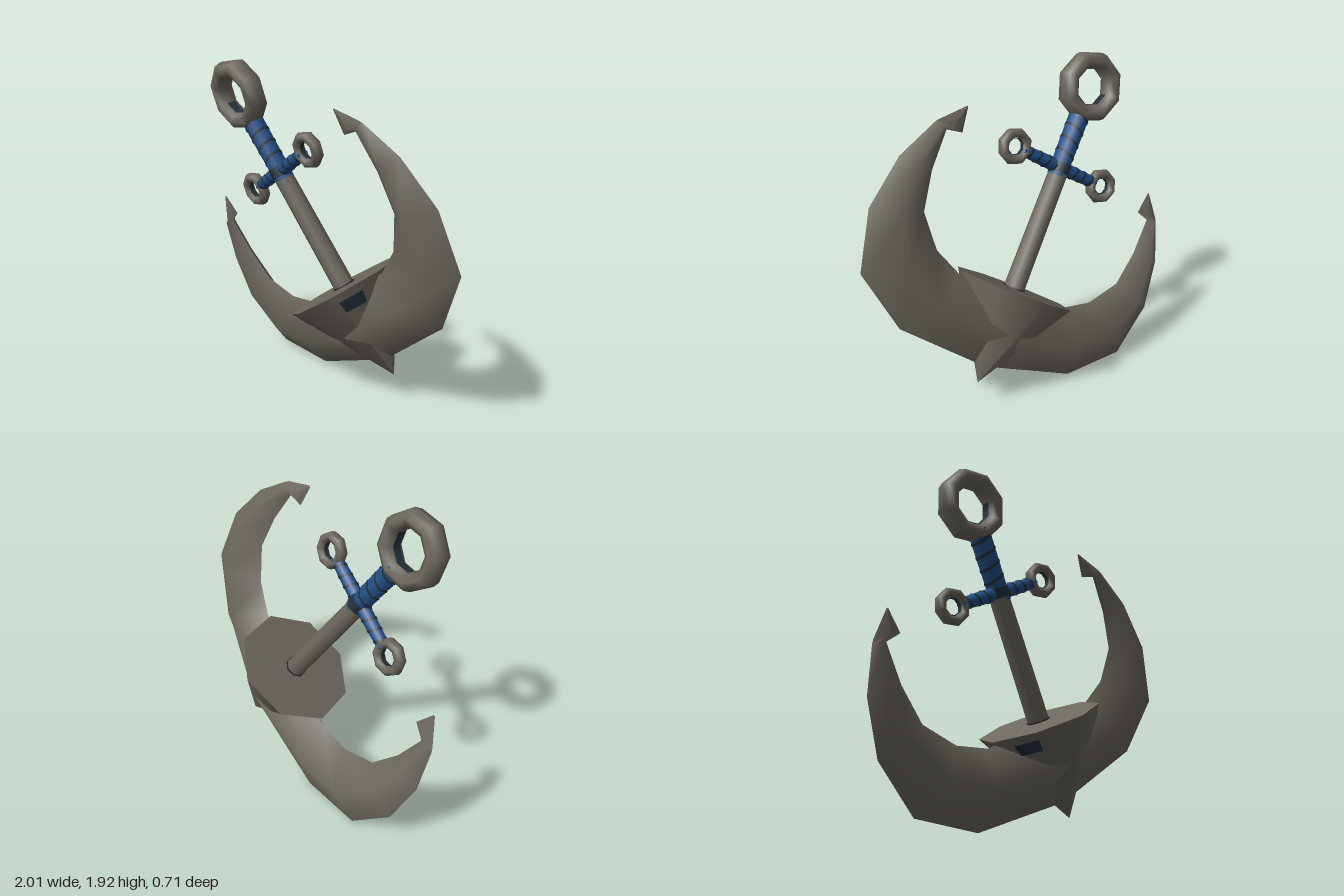
import * as THREE from 'three';

const iron = new THREE.MeshStandardMaterial({ color: 0x6c675e });
const blueCloth = new THREE.MeshStandardMaterial({ color: 0x22508a });
const darkCloth = new THREE.MeshStandardMaterial({ color: 0x24313c, side: THREE.DoubleSide });

function add(parent, name, geometry, material, x = 0, y = 0, z = 0) {
  const mesh = new THREE.Mesh(geometry, material);
  mesh.name = name;
  mesh.position.set(x, y, z);
  parent.add(mesh);
  return mesh;
}

// Curved arms: diamond cross-sections [outerX, outerY, innerX, innerY, halfDepth], mirrored.
// Ridge points are doubled so the outer and inner edges stay sharp.
function armsGeometry() {
  const half = [
    [0.62, -0.406, 0.39, -0.02, 0.13],
    [0.952, -0.182, 0.578, 0.065, 0.122],
    [1.04, 0.156, 0.735, 0.236, 0.1],
    [0.985, 0.465, 0.78, 0.46, 0.068],
    [0.866, 0.7, 0.785, 0.69, 0.034],
    [0.852, 0.72, 0.69, 0.71, 0.028],
    [0.72, 0.852, 0.712, 0.847, 0.003],
  ];
  const mirrored = half.map(([a, b, c, d, n]) => [-a, b, -c, d, n]).reverse();
  const sections = [...mirrored, [0, -0.49, 0, -0.012, 0.2], ...half];
  const positions = [], index = [];
  sections.forEach(([ox, oy, ix, iy, n], s) => {
    const mx = (ox + ix) / 2, my = (oy + iy) / 2;
    positions.push(ox, oy, 0, mx, my, n, ix, iy, 0, ix, iy, 0, mx, my, -n, ox, oy, 0);
    if (s === 0) return;
    for (const i of [0, 1, 3, 4]) {
      const p = (s - 1) * 6 + i, q = s * 6 + i;
      index.push(p, q, p + 1, p + 1, q, q + 1);
    }
  });
  const g = new THREE.BufferGeometry();
  g.setAttribute('position', new THREE.Float32BufferAttribute(positions, 3));
  g.setIndex(index);
  g.computeVertexNormals();
  return g;
}

// Cloth-wrapped rod along y, with slanted dark gaps between the windings
function wrappedRod(name, bottomRadius, topRadius, length, bands) {
  const rod = new THREE.Group();
  rod.name = name;
  add(rod, 'clothWrap', new THREE.CylinderGeometry(topRadius, bottomRadius, length, 8), blueCloth);
  for (let i = 0; i < bands; i++) {
    const t = (i + 0.5) / bands;
    const r = bottomRadius + (topRadius - bottomRadius) * t + 0.003;
    const g = new THREE.CylinderGeometry(r, r, 0.016, 8, 1, true);
    const p = g.attributes.position;
    for (let k = 0; k < p.count; k++) p.setY(k, p.getY(k) + p.getX(k) * 0.35);
    add(rod, 'wrapGap', g, darkCloth, 0, (t - 0.5) * length * 0.92, 0);
  }
  return rod;
}

// Octagonal ring with a dark lining inside its hole, centred on the lowest side
function ring(parent, name, radius, tube, depthScale, liningArc, x, y) {
  add(parent, name, new THREE.TorusGeometry(radius, tube, 8, 8), iron, x, y).scale.z = depthScale;
  const r = radius - tube - 0.002;
  const lining = new THREE.CylinderGeometry(r, r, tube, Math.round(liningArc / (Math.PI / 4)), 1, true,
    -liningArc / 2, liningArc);
  add(parent, name + 'Lining', lining, darkCloth, x, y).rotation.x = Math.PI / 2;
}

export function createModel() {
  const model = new THREE.Group();
  model.name = 'anchor';
  const body = new THREE.Group();
  body.name = 'tiltedAnchor';
  body.position.set(0.1, 0.66, 0);
  body.rotation.set(0.2, 0, 0.567);
  model.add(body);

  // Arms and the pointed crown between them
  add(body, 'arms', armsGeometry(), iron);
  add(body, 'crown', new THREE.CylinderGeometry(0.36, 0, 0.59, 8), iron, 0.008, -0.295);

  // Shank
  add(body, 'shank', new THREE.CylinderGeometry(0.058, 0.063, 0.76, 8), iron, 0.005, 0.36);
  add(body, 'shankCollar', new THREE.CylinderGeometry(0.068, 0.068, 0.008, 8), darkCloth, 0.005, 0.004);

  // Wrapped upper shank with the large ring
  const grip = wrappedRod('upperShank', 0.058, 0.062, 0.42, 5);
  grip.position.set(0.008, 0.92, 0);
  body.add(grip);
  add(body, 'crossKnot', new THREE.CylinderGeometry(0.063, 0.063, 0.06, 8), darkCloth, 0.008, 0.76);
  ring(body, 'largeRing', 0.163, 0.051, 1.4, Math.PI, 0.01, 1.266);

  // Wrapped crossbar with a small ring at each end
  for (const side of [-1, 1]) {
    const bar = wrappedRod(side > 0 ? 'leftCrossbar' : 'rightCrossbar', 0.042, 0.034, 0.28, 4);
    bar.position.set(0.01 + side * 0.14, 0.762, 0);
    bar.rotation.z = -side * Math.PI / 2;
    body.add(bar);
    ring(body, side > 0 ? 'leftSmallRing' : 'rightSmallRing', 0.08, 0.028, 1.3, Math.PI * 2,
      0.01 + side * 0.338, 0.762);

    // Dark patch under the crown's rim beside each arm
    const start = THREE.MathUtils.degToRad(side > 0 ? 45 : -70);
    const patch = new THREE.CylinderGeometry(0.336, 0.293, 0.07, 2, 1, true, start, THREE.MathUtils.degToRad(25));
    add(body, 'crownPatch', patch, darkCloth, 0.008, -0.08);
  }
  return model;
}
